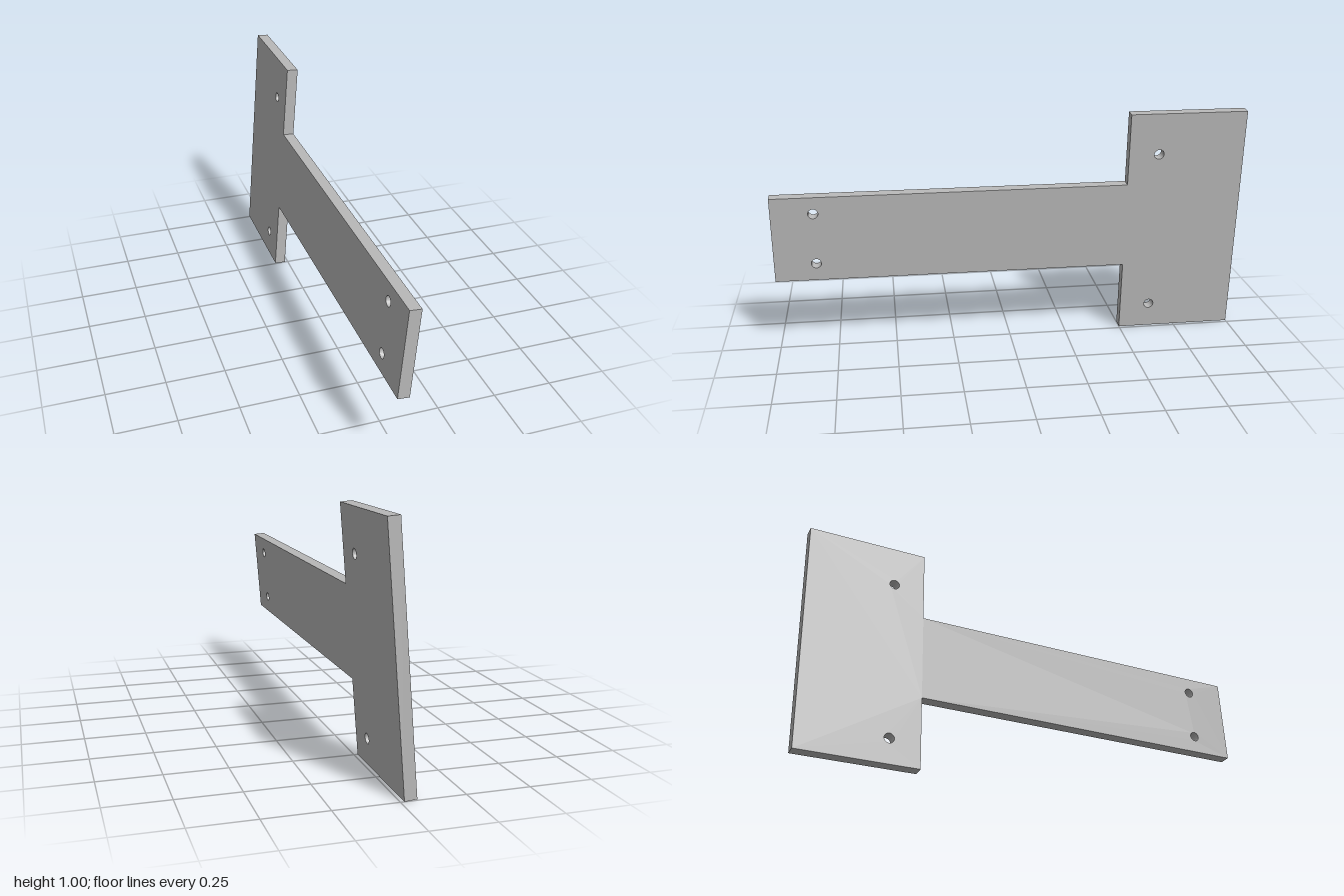
import * as THREE from 'three';

export function createModel() {
  const group = new THREE.Group();
  const grey = new THREE.MeshStandardMaterial({ color: 0xb8b8b8 });
  grey.name = 'plain grey';

  const thickness = 0.048;
  const halfHeight = 0.4995;
  const halfArm = 0.188;

  // T-shaped outline: long arm to the front, crosspiece at the back
  const outline = new THREE.Shape([
    [-1, -halfArm], [0.5, -halfArm], [0.5, -halfHeight], [1, -halfHeight],
    [1, halfHeight], [0.5, halfHeight], [0.5, halfArm], [-1, halfArm],
  ].map(([x, y]) => new THREE.Vector2(x, y)));

  // Screw holes: two at the arm's end, two in the crosspiece
  for (const [x, y] of [[-0.825, 0.115], [-0.825, -0.111], [0.63, 0.321], [0.63, -0.39]]) {
    outline.holes.push(new THREE.Path().absarc(x, y, 0.021, 0, Math.PI * 2, true));
  }

  const geometry = new THREE.ExtrudeGeometry(outline, {
    depth: thickness, bevelEnabled: false, curveSegments: 16,
  });
  geometry.translate(0, 0, -thickness / 2).rotateY(Math.PI / 2);

  // The plate leans slightly to its left
  const plate = new THREE.Mesh(geometry, grey);
  plate.name = 'mountingPlate';
  plate.rotation.z = -0.078;
  plate.position.y = 0.5;
  group.add(plate);
  return group;
}
